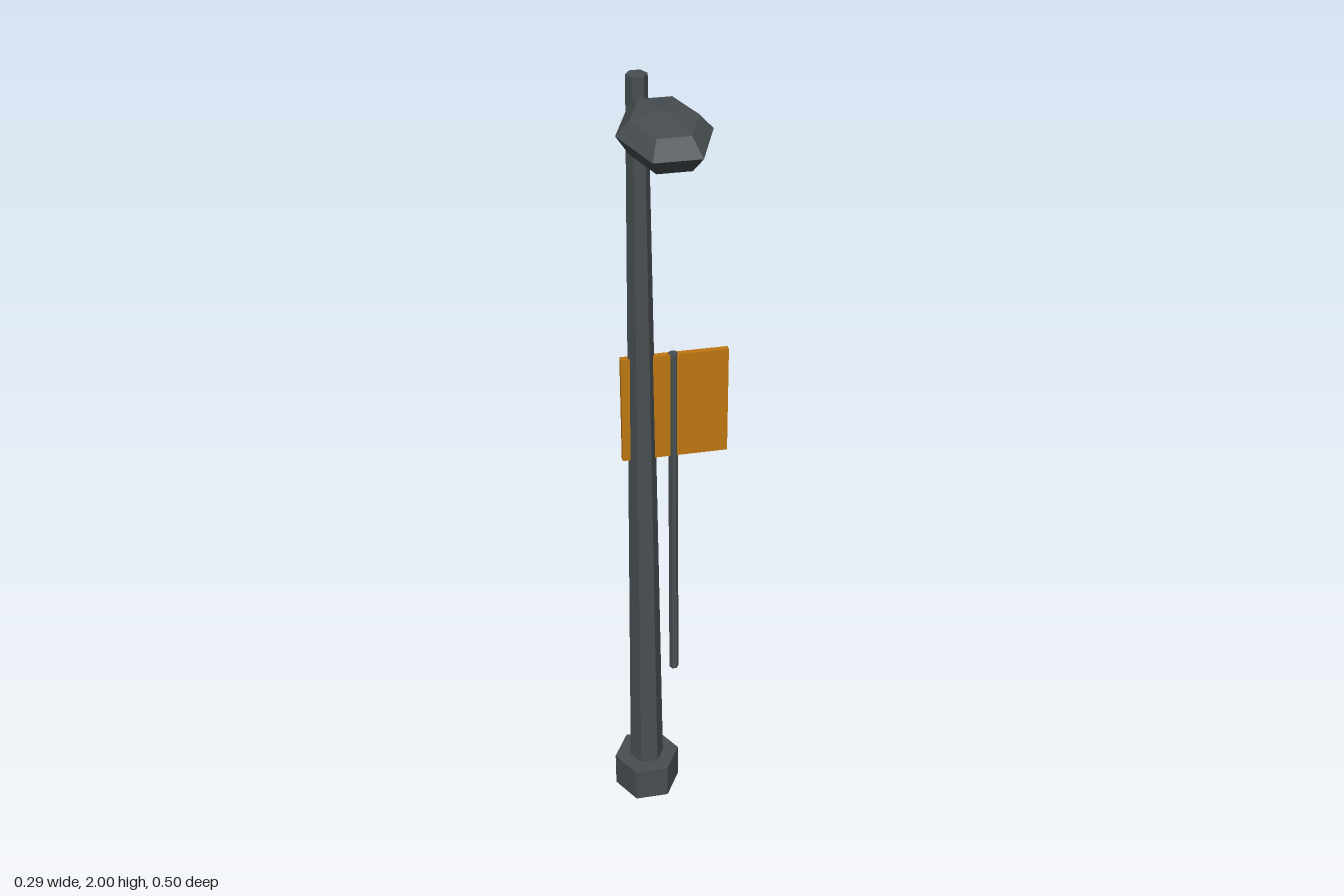
import * as THREE from 'three';

const PX = -0.053, PZ = -0.177; // pole axis

export function createModel() {
  const group = new THREE.Group();
  const mat = (name, color) => {
    const m = new THREE.MeshStandardMaterial({ color });
    m.name = name;
    return m;
  };
  const metal = mat('slate metal', 0x484e52);
  const amber = mat('amber sign', 0xbf7711);
  const glass = mat('lamp glass', 0xb5a48c);

  // adds a mesh with faceted normals
  const add = (name, geometry, material, x = 0, y = 0, z = 0) => {
    const g = geometry.index ? geometry.toNonIndexed() : geometry;
    g.computeVertexNormals();
    const mesh = new THREE.Mesh(g, material);
    mesh.name = name;
    mesh.position.set(x, y, z);
    group.add(mesh);
    return mesh;
  };
  // six-sided upright column with corners on the x axis
  const column = (name, rTop, rBottom, y0, y1, x) =>
    add(name, new THREE.CylinderGeometry(rTop, rBottom, y1 - y0, 6).rotateY(Math.PI / 2),
      metal, x, (y0 + y1) / 2, PZ);

  column('base', 0.083, 0.083, 0, 0.095, PX);
  column('pole', 0.023, 0.043, 0.09, 1.956, PX);
  column('signPost', 0.0115, 0.0115, 0.38, 1.301, 0.02);

  // sign panel
  add('signPanel', new THREE.BoxGeometry(0.246, 0.27, 0.014), amber, 0.023, 1.165, PZ);

  // sloping arm
  const from = new THREE.Vector3(PX, 1.878, PZ);
  const to = new THREE.Vector3(PX, 1.938, 0.03);
  const dir = to.clone().sub(from);
  const mid = from.clone().add(to).multiplyScalar(0.5);
  const arm = add('arm', new THREE.CylinderGeometry(0.018, 0.018, dir.length(), 6), metal, mid.x, mid.y, mid.z);
  arm.quaternion.setFromUnitVectors(new THREE.Vector3(0, 1, 0), dir.normalize());

  // lamp head from hexagonal rings: half width, half end width, half length, height
  const ring = (w, e, l, y) =>
    [[w, 0], [e, -l], [-e, -l], [-w, 0], [-e, l], [e, l]].map(([x, z]) => [x, y, z]);
  const top = ring(0.066, 0.033, 0.093, 1.988);
  const rim = ring(0.0935, 0.047, 0.13, 1.958);
  const bottom = ring(0.068, 0.034, 0.095, 1.92);
  const solid = (triangles) => {
    const g = new THREE.BufferGeometry();
    g.setAttribute('position', new THREE.Float32BufferAttribute(triangles.flat(2), 3));
    return g;
  };
  const housing = [], lens = [];
  for (let i = 0; i < 6; i++) {
    const j = (i + 1) % 6;
    housing.push([[0, 2, 0], top[i], top[j]]);
    for (const [a, b] of [[top, rim], [rim, bottom]]) {
      housing.push([a[i], b[i], b[j]], [a[i], b[j], a[j]]);
    }
    lens.push([[0, 1.907, 0], bottom[j], bottom[i]]);
  }
  add('lampHousing', solid(housing), metal, PX, 0, 0.117);
  add('lampLens', solid(lens), glass, PX, 0, 0.117);

  return group;
}
